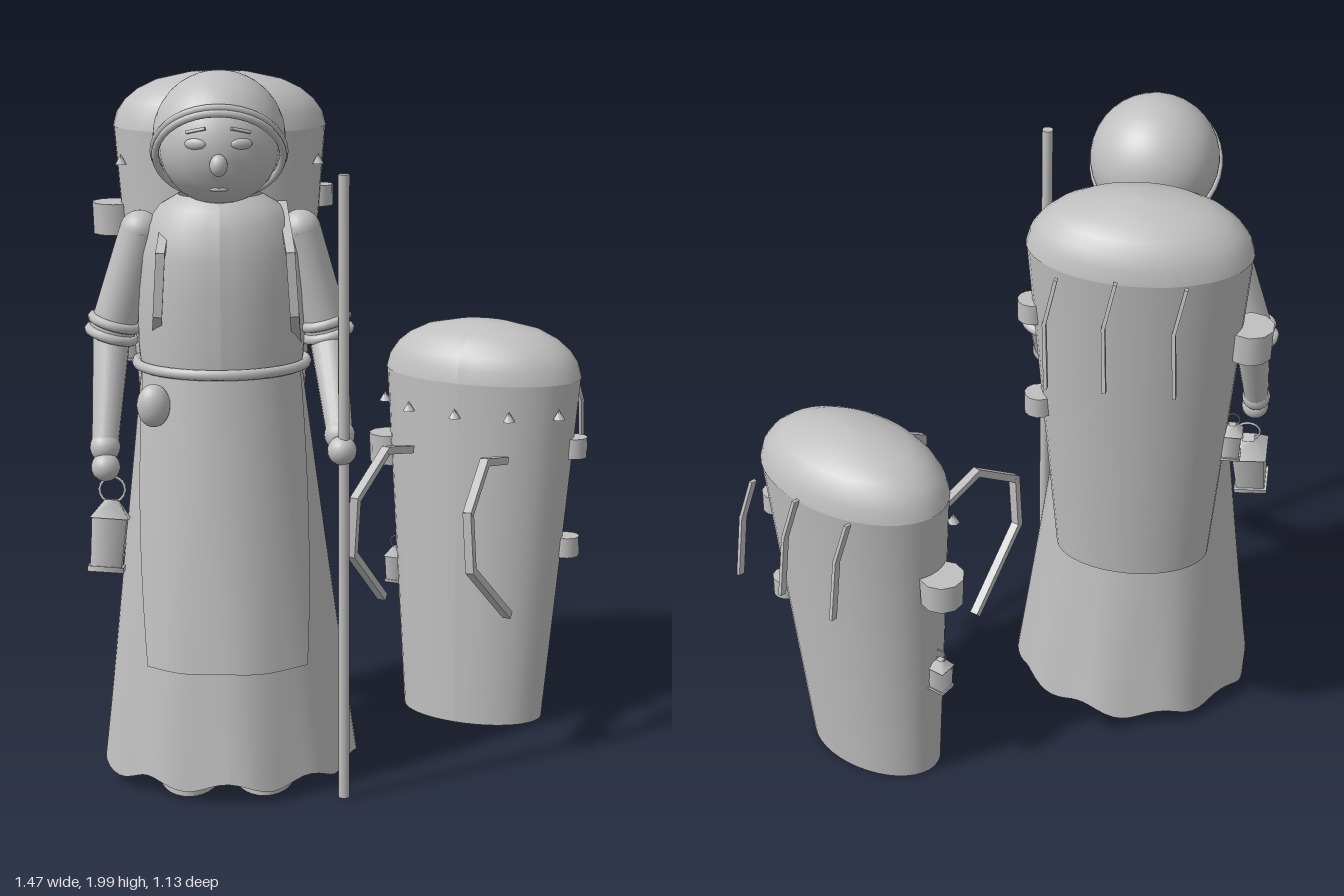
import * as THREE from 'three';

const clay = new THREE.MeshStandardMaterial({ color: 0xc0c0c0, side: THREE.DoubleSide });
clay.name = 'clay grey';
const V = (x, y, z) => new THREE.Vector3(x, y, z);

function add(parent, name, geo, x = 0, y = 0, z = 0) {
  const m = new THREE.Mesh(geo, clay);
  m.name = name;
  m.position.set(x, y, z);
  parent.add(m);
  return m;
}

function ball(parent, name, x, y, z, rx, ry = rx, rz = rx) {
  return add(parent, name, new THREE.SphereGeometry(1, 20, 14).scale(rx, ry, rz), x, y, z);
}

// Tapered round bar between two points
function limb(parent, name, a, b, ra, rb) {
  const d = b.clone().sub(a);
  const m = add(parent, name, new THREE.CylinderGeometry(rb, ra, d.length(), 16));
  m.position.copy(a).addScaledVector(d, 0.5);
  m.quaternion.setFromUnitVectors(V(0, 1, 0), d.normalize());
  return m;
}

// Angular band that follows points, its width kept along x
function band(parent, name, pts, w, t) {
  const g = new THREE.Group();
  g.name = name;
  for (let i = 1; i < pts.length; i++) {
    const d = pts[i].clone().sub(pts[i - 1]);
    const m = add(g, name + 'Segment', new THREE.BoxGeometry(w, t, d.length() + t * 0.5));
    d.normalize();
    const x = V(1, 0, 0).addScaledVector(d, -d.x).normalize();
    m.quaternion.setFromRotationMatrix(new THREE.Matrix4().makeBasis(x, d.clone().cross(x), d));
    m.position.lerpVectors(pts[i - 1], pts[i], 0.5);
  }
  parent.add(g);
}

// Lathe of [radius, y] pairs whose vertices are then moved by a rule
function turned(profile, segs, rule) {
  const g = new THREE.LatheGeometry(profile.map(([r, y]) => new THREE.Vector2(r, y)), segs);
  const p = g.attributes.position, v = V(0, 0, 0);
  for (let i = 0; i < p.count; i++) {
    rule(v.fromBufferAttribute(p, i));
    p.setXYZ(i, v.x, v.y, v.z);
  }
  g.computeVertexNormals();
  return g;
}

function lantern(parent, name, x, y, z, s) {
  const g = new THREE.Group();
  g.name = name;
  const quarter = Math.PI / 4;
  add(g, 'lanternGlass', new THREE.CylinderGeometry(0.068, 0.06, 0.14, 4).rotateY(quarter));
  add(g, 'lanternBase', new THREE.CylinderGeometry(0.07, 0.07, 0.015, 4).rotateY(quarter), 0, -0.072);
  add(g, 'lanternRoof', new THREE.CylinderGeometry(0.025, 0.076, 0.05, 4).rotateY(quarter), 0, 0.093);
  add(g, 'lanternRing', new THREE.TorusGeometry(0.035, 0.004, 6, 16), 0, 0.145);
  g.position.set(x, y, z);
  g.scale.setScalar(s);
  parent.add(g);
  return g;
}

// Tall oval pack basket with lid, shoulder straps and hanging gear
function basket() {
  const g = new THREE.Group();
  const lean = (v) => {
    v.x *= 0.303;
    v.z = v.z * 0.195 + 0.055 * Math.max(0, 1 - v.y / 1.05);
  };
  add(g, 'basketBody', turned([[0.72, 0.005], [0.86, 0.52], [1, 1.05]], 40, lean));
  add(g, 'basketBottom', turned([[0, 0.005], [0.72, 0.005]], 40, lean));
  const lid = [[1.005, 1.045], [0.97, 1.085], [0.89, 1.12], [0.77, 1.15], [0.6, 1.175], [0.3, 1.195], [0, 1.2]];
  add(g, 'basketLid', turned(lid, 40, lean));

  for (const s of [-1, 1]) {
    const at = (x, y, z) => V(0.02 + s * x, y, z);
    band(g, 'shoulderStrap', [at(0.15, 0.845, 0.24), at(0.155, 0.875, 0.39), at(0.175, 0.765, 0.55),
      at(0.185, 0.6, 0.55), at(0.2, 0.41, 0.32)], 0.025, 0.022);
  }
  for (const x of [-0.28, -0.16, 0, 0.16, 0.28]) {
    const z = 0.195 * Math.sqrt(1 - (x / 0.303) ** 2);
    add(g, 'peg', new THREE.ConeGeometry(0.018, 0.03, 6), x, 0.96, z + 0.016);
  }
  for (const x of [-0.13, 0.055, 0.21]) {
    band(g, 'tie', [V(x - 0.01, 1.05, -0.205), V(x + 0.015, 0.93, -0.228), V(x + 0.005, 0.76, -0.265)], 0.01, 0.022);
  }
  for (const [x, y] of [[0.285, 0.84], [0.265, 0.535]]) {
    add(g, 'sideRoll', new THREE.CylinderGeometry(0.04, 0.04, 0.06, 12), x, y, -0.02);
  }
  add(g, 'sidePot', new THREE.CylinderGeometry(0.065, 0.062, 0.09, 10), -0.305, 0.78, 0);
  lantern(g, 'smallLantern', -0.27, 0.41, 0.03, 0.55);
  return g;
}

function buildHead(person) {
  const head = new THREE.Group();
  head.name = 'head';
  head.position.set(0, 1.82, 0.05);
  person.add(head);
  ball(head, 'face', 0, -0.015, 0, 0.168, 0.17, 0.168);
  ball(head, 'nose', 0, -0.055, 0.17, 0.024, 0.03, 0.026);
  for (const s of [-1, 1]) {
    const eye = ball(head, 'eye', s * 0.062, 0, 0.152, 0.03, 0.015, 0.01);
    eye.rotation.y = s * 0.35;
    const brow = add(head, 'brow', new THREE.BoxGeometry(0.055, 0.008, 0.01), s * 0.06, 0.036, 0.15);
    brow.rotation.set(-0.3, s * 0.38, -s * 0.12);
  }
  ball(head, 'mouth', 0, -0.125, 0.122, 0.026, 0.008, 0.01);
  ball(head, 'hairBun', 0, -0.11, -0.2, 0.04, 0.032, 0.03);

  // Headscarf tilted backwards with a doubled rim
  const scarf = new THREE.Group();
  scarf.name = 'headscarf';
  scarf.rotation.x = -0.84;
  head.add(scarf);
  add(scarf, 'scarfCap', new THREE.SphereGeometry(0.18, 32, 18, 0, Math.PI * 2, 0, 1.93));
  for (const [r, y] of [[0.177, -0.052], [0.172, -0.068]]) {
    add(scarf, 'scarfRim', new THREE.TorusGeometry(r, 0.01, 8, 36).rotateX(Math.PI / 2), 0, y);
  }
}

function buildArm(person, name, shoulder, elbow, wrist, hand) {
  const g = new THREE.Group();
  g.name = name;
  person.add(g);
  ball(g, 'shoulder', shoulder.x, shoulder.y, shoulder.z, 0.056);
  const sleeve = limb(g, 'sleeve', shoulder, elbow, 0.056, 0.064);
  for (const t of [0.9, 1.02]) {
    const cuff = add(g, 'rolledCuff', new THREE.TorusGeometry(0.063, 0.014, 8, 20).rotateX(Math.PI / 2));
    cuff.position.lerpVectors(shoulder, elbow, t);
    cuff.quaternion.copy(sleeve.quaternion);
  }
  ball(g, 'elbow', elbow.x, elbow.y, elbow.z, 0.052);
  limb(g, 'forearm', elbow, wrist, 0.052, 0.036);
  ball(g, 'wrist', wrist.x, wrist.y, wrist.z, 0.042);
  ball(g, 'hand', hand.x, hand.y, hand.z, 0.04);
}

function buildPerson() {
  const g = new THREE.Group();
  g.name = 'traveller';
  buildHead(g);
  const torso = [[0.96, 1.16], [1, 1.25], [1, 1.4], [0.97, 1.5], [0.88, 1.58], [0.72, 1.63], [0.5, 1.66]];
  add(g, 'torso', turned(torso, 36, (v) => { v.x *= 0.23; v.z = v.z * 0.186 + 0.01; }));
  add(g, 'neck', new THREE.CylinderGeometry(0.08, 0.1, 0.12, 16), 0, 1.65, 0.03);
  add(g, 'belt', new THREE.TorusGeometry(1, 0.06, 8, 40).rotateX(Math.PI / 2).scale(0.235, 0.25, 0.197), 0, 1.19);

  // Flared skirt with soft folds growing towards the hem
  const flare = (v) => {
    const t = 1 - (v.y - 0.05) / 1.13, a = Math.atan2(v.x, v.z);
    const f = 1 + 0.018 * t * t * Math.sin(a * 9) + 0.015 * t * Math.sin(a * 4 + 1);
    v.x = v.x * f * (0.222 + 0.13 * t) + 0.012 * t;
    v.z = v.z * f * (0.186 + 0.117 * t) + 0.02 * t;
    v.y += 0.014 * t ** 6 * Math.cos(a * 9);
  };
  const rows = Array.from({ length: 15 }, (_, i) => [1, 0.05 + 1.13 * i / 14]);
  add(g, 'skirt', turned(rows, 88, flare));

  // Apron wraps the front of the skirt just above its surface
  const apron = new THREE.PlaneGeometry(2, 0.82, 32, 12);
  const p = apron.attributes.position, v = V(0, 0, 0);
  for (let i = 0; i < p.count; i++) {
    const y = p.getY(i) + 0.78, a = p.getX(i) * (0.76 + 0.5 * (y - 0.37) / 0.82);
    flare(v.set(Math.sin(a) * 1.03, y, Math.cos(a) * 1.03));
    p.setXYZ(i, v.x, v.y, v.z);
  }
  apron.computeVertexNormals();
  add(g, 'apron', apron);
  ball(g, 'pouch', -0.185, 1.1, 0.16, 0.046, 0.06, 0.04);

  const shoeTop = new THREE.SphereGeometry(1, 24, 8, 0, Math.PI * 2, 0, Math.PI / 2).scale(0.08, 0.05, 0.155);
  for (const s of [-1, 1]) {
    const x = s * 0.105 + 0.005;
    add(g, 'leg', new THREE.CylinderGeometry(0.055, 0.05, 0.5, 16), x, 0.29, 0.02);
    add(g, 'shoeSole', new THREE.CylinderGeometry(1, 1, 0.03, 28).scale(0.085, 1, 0.165), x, 0.02, 0.095);
    add(g, 'shoe', shoeTop, x, 0.03, 0.095);
  }

  buildArm(g, 'leftArm', V(0.22, 1.56, 0.02), V(0.292, 1.275, 0.01), V(0.32, 1.03, 0.225), V(0.325, 1.0, 0.28));
  buildArm(g, 'rightArm', V(-0.22, 1.56, 0.02), V(-0.302, 1.275, 0.01), V(-0.32, 0.98, 0.14), V(-0.318, 0.93, 0.165));
  add(g, 'walkingStaff', new THREE.CylinderGeometry(0.016, 0.016, 1.74, 10), 0.33, 0.88, 0.285);
  lantern(g, 'handLantern', -0.315, 0.715, 0.16, 1).rotation.set(-0.2, 0, -0.08);
  g.position.set(-0.355, 0, 0.23);
  return g;
}

export function createModel() {
  const model = new THREE.Group();
  model.name = 'travellerWithBaskets';
  model.add(buildPerson());

  const worn = basket();
  worn.name = 'wornBasket';
  worn.position.set(-0.36, 0.752, -0.155);
  model.add(worn);

  const standing = basket();
  standing.name = 'standingBasket';
  standing.position.set(0.415, 0, -0.262);
  standing.rotation.y = -0.49;
  model.add(standing);
  return model;
}
